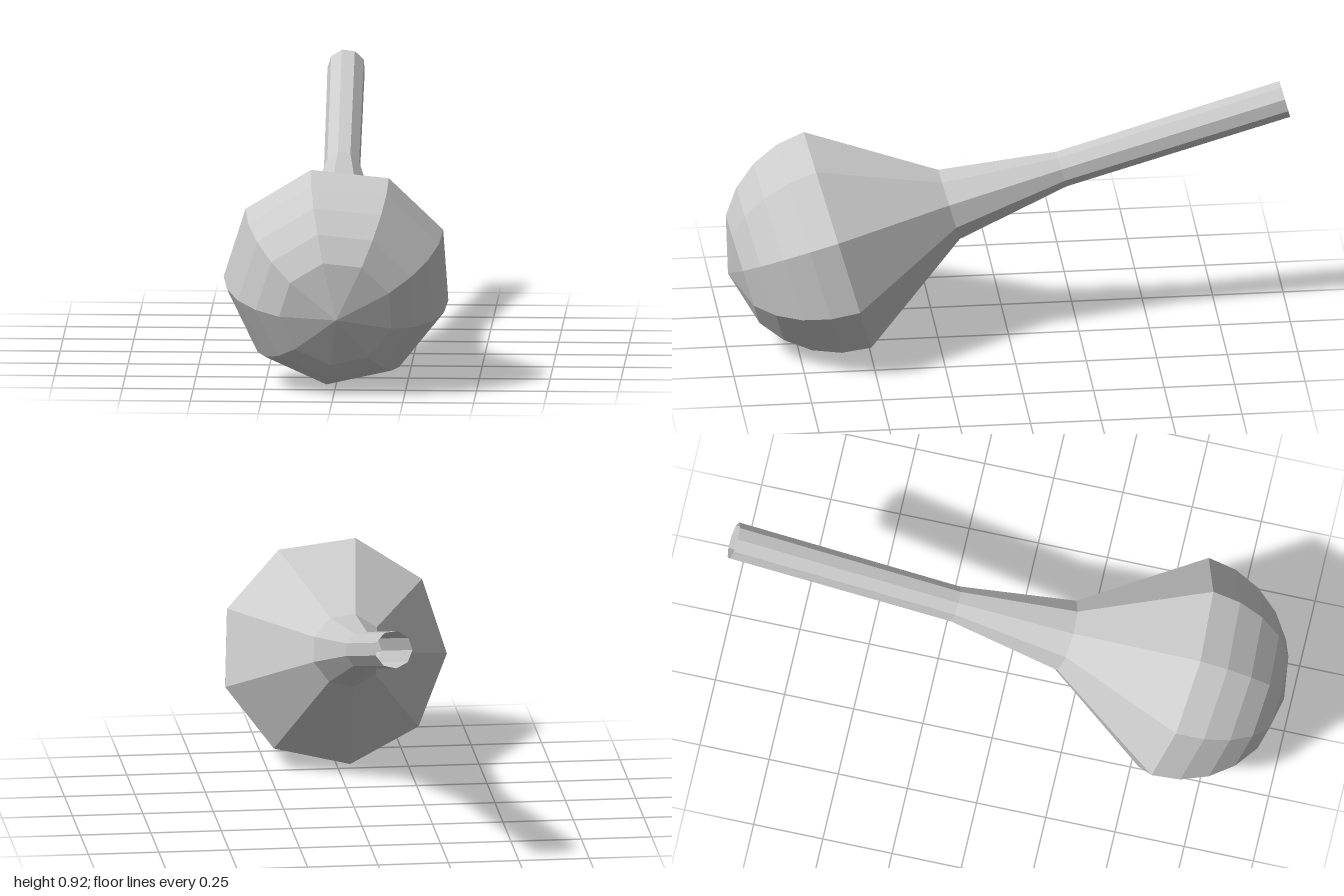
import * as THREE from 'three';

const SIDES = 9;
const RADIUS = 0.405;

export function createModel() {
  const group = new THREE.Group();
  const material = new THREE.MeshStandardMaterial({
    color: 0xcccccc, flatShading: true, side: THREE.DoubleSide,
  });

  // Each part is a nine-sided lathe sharing the bulb's axis (+z at the tip).
  const addPart = (name, profile) => {
    const points = profile.map(([r, h]) => new THREE.Vector2(r, h));
    const phiStart = THREE.MathUtils.degToRad(193.5);
    const geometry = new THREE.LatheGeometry(points, SIDES, phiStart);
    geometry.rotateX(Math.PI / 2);
    const mesh = new THREE.Mesh(geometry, material);
    mesh.name = name;
    group.add(mesh);
  };

  // Open-ended slender tube, slightly flared where it meets the neck
  addPart('tube', [[0.067, -1.653], [0.065, -0.827]]);
  addPart('neck', [[0.065, -0.827], [0.13, -0.412]]);

  // Bulb: cone out to the widest ring
  addPart('bulbShoulder', [[0.13, -0.412], [RADIUS, 0]]);

  // Rounded end: rings every 15 degrees, closed by a shallow fan
  const dome = [90, 75, 60, 45, 30, 0].map((deg) => {
    const a = THREE.MathUtils.degToRad(deg);
    return [RADIUS * Math.sin(a), RADIUS * Math.cos(a)];
  });
  addPart('bulbDome', dome);

  // Tilt the axis: tip low at the front, tube rising to the back
  group.rotation.set(0.277, 0.022, 0, 'YXZ');
  group.position.set(0.006, 0.406, 0.607);

  const model = new THREE.Group();
  group.name = 'bulbWithTube';
  model.add(group);
  return model;
}
